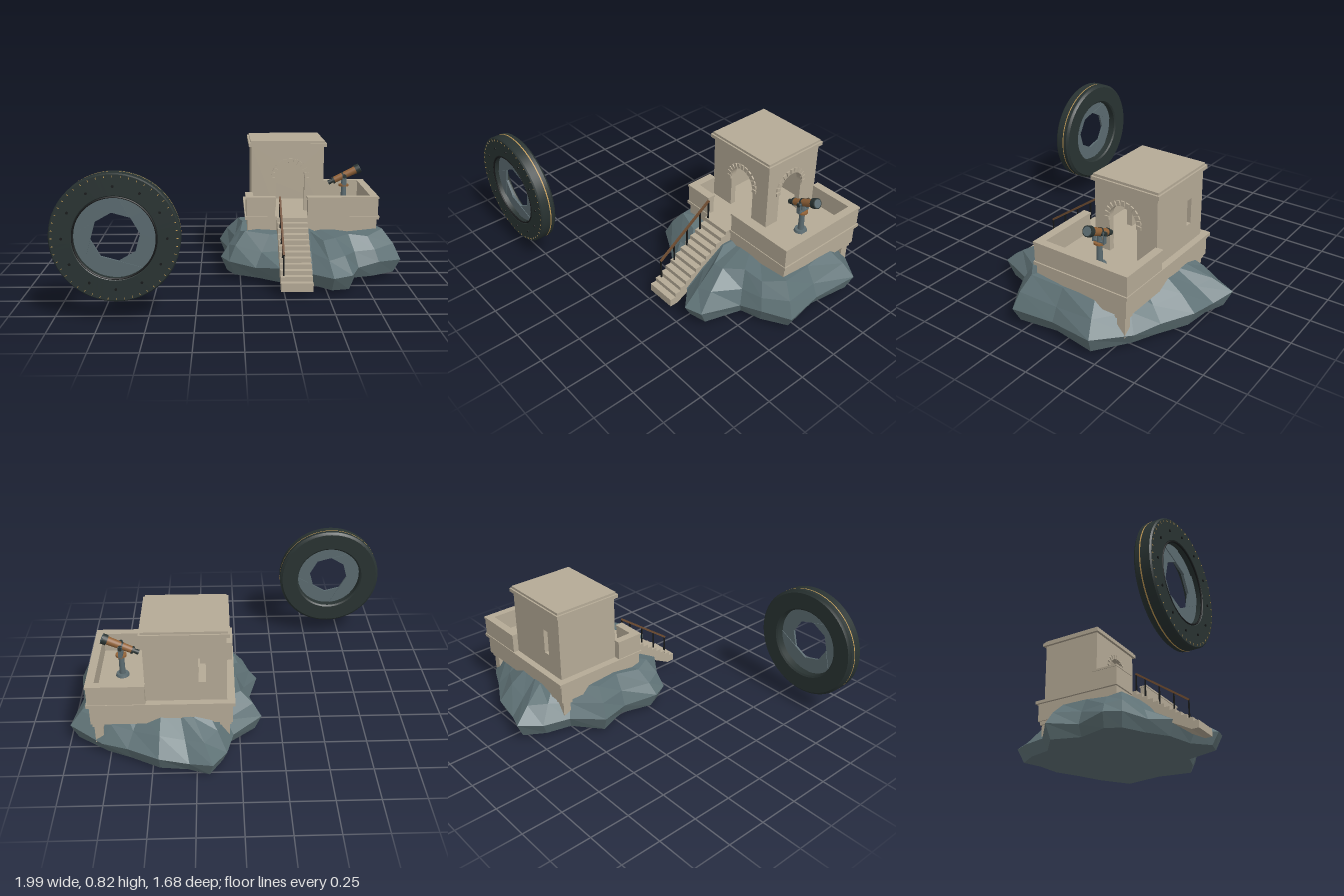
import * as THREE from 'three';
import { toCreasedNormals } from 'three/addons/utils/BufferGeometryUtils.js';

const material = (name, color, extra = {}) => {
  const m = new THREE.MeshStandardMaterial({ color, ...extra });
  m.name = name;
  return m;
};

export function createModel() {
  const stone = material('stone', 0xb5aa96);
  const rockMat = material('blue grey rock', 0x5f7276, { flatShading: true });
  const steel = material('blue grey steel', 0x5b6b70);
  const dark = material('dark iron', 0x293332);
  const black = material('black metal', 0x17191a);
  const copper = material('copper', 0x936338);
  const gold = material('gold', 0xc29a55);
  const wood = material('brown rail', 0x6e4c31);

  const model = new THREE.Group();
  const add = (name, geo, mat, parent = model) => {
    const mesh = new THREE.Mesh(geo, mat);
    mesh.name = name;
    parent.add(mesh);
    return mesh;
  };
  const group = (name) => {
    const g = new THREE.Group();
    g.name = name;
    model.add(g);
    return g;
  };
  const box = (name, mat, x0, x1, y0, y1, z0, z1, parent) => {
    const mesh = add(name, new THREE.BoxGeometry(x1 - x0, y1 - y0, z1 - z0), mat, parent);
    mesh.position.set((x0 + x1) / 2, (y0 + y1) / 2, (z0 + z1) / 2);
    return mesh;
  };
  const extrude = (shape, depth) =>
    new THREE.ExtrudeGeometry(shape, { depth, bevelEnabled: false, curveSegments: 16 });

  // Rock: widest outline as x, z and the inset of its plateau
  const outline = [
    [0.16, -0.84, 0.62], [0.29, -0.79, 0.62], [0.46, -0.77, 0.64], [0.64, -0.67, 0.66], [0.79, -0.6, 0.68],
    [0.99, -0.455, 0.72], [0.95, -0.18, 0.82], [0.99, 0.07, 0.8], [0.84, 0.16, 0.84], [0.71, 0.2, 0.8],
    [0.64, 0.435, 0.64], [0.53, 0.46, 0.62], [0.42, 0.35, 0.5], [0.23, 0.3, 0.5], [0.09, 0.2, 0.74],
    [-0.07, 0.115, 0.8], [-0.12, 0.01, 0.78], [-0.06, -0.2, 0.84], [-0.13, -0.4, 0.78], [0.04, -0.545, 0.74],
    [0.08, -0.71, 0.66],
  ];
  const rings = [
    () => [0, 0], () => [0.93, 0.025], () => [1, 0.11], (t) => [(1 + t) / 2 + 0.02, 0.195],
    (t) => [t, 0.28], () => [0, 0.285],
  ];
  const n = outline.length;
  const rockPoint = (r, i) => {
    const [x, z, top] = outline[i % n];
    const [s, y] = rings[r](top);
    const bump = r > 1 && r < 5 ? Math.sin((i % n) * 2.4 + r) * 0.014 : 0;
    return [0.43 + (x - 0.43) * s, y + bump, -0.2 + (z + 0.2) * s];
  };
  const verts = [];
  for (let r = 0; r < rings.length - 1; r++) {
    for (let i = 0; i < n; i++) {
      const a = rockPoint(r, i), b = rockPoint(r, i + 1);
      const c = rockPoint(r + 1, i), d = rockPoint(r + 1, i + 1);
      if (r < rings.length - 2) verts.push(...a, ...c, ...d);
      else verts.push(...a, ...c, ...b);
      if (r > 0 && r < rings.length - 2) verts.push(...a, ...d, ...b);
    }
  }
  const rockGeo = new THREE.BufferGeometry();
  rockGeo.setAttribute('position', new THREE.Float32BufferAttribute(verts, 3));
  rockGeo.computeVertexNormals();
  add('rock', rockGeo, rockMat);

  // Terrace: base, ledge, rear pillars and parapet with coping
  const terrace = group('terrace');
  box('base', stone, 0.045, 0.845, 0.23, 0.35, -0.59, 0.005, terrace);
  box('ledge', stone, 0.03, 0.86, 0.35, 0.37, -0.605, 0.015, terrace);
  for (const x of [0.085, 0.805]) {
    box('pillar', stone, x - 0.024, x + 0.024, 0.09, 0.23, -0.57, -0.52, terrace);
    box('pillarCapital', stone, x - 0.032, x + 0.032, 0.205, 0.23, -0.578, -0.512, terrace);
  }
  const parapets = [
    [0.038, 0.215, -0.033, 0.01], [0.417, 0.852, -0.033, 0.01], [0.812, 0.852, -0.6, -0.033],
    [0.53, 0.812, -0.6, -0.56], [0.038, 0.078, -0.16, -0.033],
  ];
  for (const [x0, x1, z0, z1] of parapets) {
    box('parapet', stone, x0, x1, 0.37, 0.478, z0, z1, terrace);
    box('coping', stone, x0 - 0.004, x1 + 0.004, 0.478, 0.491, z0 - 0.004, z1 + 0.004, terrace);
  }

  // Tower: hollow, two arched doorways and a slit window
  const tower = group('tower');
  const y0 = 0.37, y1 = 0.785, spring = 0.585, half = 0.09, thick = 0.035;
  const archWall = (u0, u1, c) => {
    const s = new THREE.Shape();
    s.moveTo(u0, y0);
    s.lineTo(c - half, y0);
    s.lineTo(c - half, spring);
    s.absarc(c, spring, half, Math.PI, 0, true);
    s.lineTo(c + half, y0);
    s.lineTo(u1, y0);
    s.lineTo(u1, y1);
    s.lineTo(u0, y1);
    return extrude(s, thick);
  };
  const archStones = (c, parent) => {
    for (let i = 0; i < 13; i++) {
      const a = (i / 12) * Math.PI * 1.06 - Math.PI * 0.03;
      const block = add('archStone', new THREE.BoxGeometry(0.029, 0.022, 0.014), stone, parent);
      block.position.set(c + Math.cos(a) * 0.105, spring + Math.sin(a) * 0.105, thick + 0.002);
      block.rotation.z = a;
    }
  };
  const front = new THREE.Group();
  front.name = 'frontWall';
  add('archedWall', archWall(0.075, 0.53, 0.32), stone, front);
  archStones(0.32, front);
  front.position.z = -0.16 - thick;
  const side = new THREE.Group();
  side.name = 'leftWall';
  add('archedWall', archWall(0.16 + thick, 0.565 - thick, 0.347), stone, side);
  archStones(0.347, side);
  side.rotation.y = Math.PI / 2;
  side.position.x = 0.53 - thick;
  tower.add(front, side);
  box('rightWall', stone, 0.075, 0.075 + thick, y0, y1, -0.565 + thick, -0.16 - thick, tower);
  const rect = (P, a, b, c, d) =>
    new P([[a, c], [b, c], [b, d], [a, d]].map(([x, y]) => new THREE.Vector2(x, y)));
  const back = rect(THREE.Shape, 0.075, 0.53, y0, y1);
  back.holes.push(rect(THREE.Path, 0.19, 0.232, 0.49, 0.645));
  add('backWall', extrude(back, thick), stone, tower).position.z = -0.565;
  box('roof', stone, 0.057, 0.545, 0.78, 0.802, -0.582, -0.143, tower);
  box('roofCap', stone, 0.068, 0.534, 0.802, 0.816, -0.572, -0.153, tower);

  // Stairs: stepped profile with a sloping underside
  const steps = 12, run = 0.46 / steps, rise = 0.285 / (steps - 1);
  const profile = new THREE.Shape();
  profile.moveTo(0, 0.25);
  for (let i = 0; i < steps; i++) {
    const y = 0.37 - i * rise;
    profile.lineTo(i * run, y);
    profile.lineTo((i + 1) * run, y);
  }
  profile.lineTo(0.46, 0.035);
  profile.lineTo(0.41, 0.035);
  const stairs = add('stairs', extrude(profile, 0.185), stone);
  stairs.rotation.y = -Math.PI / 2;
  stairs.position.set(0.411, 0, 0.008);

  // Stair railing
  const railing = group('railing');
  const railY = (z) => 0.495 - (z - 0.035) * 0.712;
  for (const z of [0.4, 0.3, 0.2, 0.1, 0.035]) {
    box('railPost', black, 0.239, 0.247, railY(z) - 0.13, railY(z), z - 0.004, z + 0.004, railing);
  }
  const rail = add('handrail', new THREE.BoxGeometry(0.012, 0.012, 0.455), wood, railing);
  rail.position.set(0.243, railY(0.2175), 0.2175);
  rail.rotation.x = Math.atan(0.712);

  // Telescope on its stand
  const scope = group('telescope');
  scope.position.set(0.68, 0, -0.3);
  const disc = (name, mat, r0, r1, h, parent, y = 0) => {
    const m = add(name, new THREE.CylinderGeometry(r0, r1, h, 20), mat, parent);
    m.position.y = y;
    return m;
  };
  disc('standFoot', steel, 0.035, 0.04, 0.015, scope, 0.377);
  disc('stand', steel, 0.016, 0.018, 0.13, scope, 0.435);
  disc('turntable', copper, 0.032, 0.032, 0.012, scope, 0.508);
  disc('neck', steel, 0.012, 0.014, 0.04, scope, 0.53);
  for (const s of [-1, 1]) box('fork', steel, -0.012, 0.012, 0.51, 0.58, s * 0.034 - 0.005, s * 0.034 + 0.005, scope);
  box('forkBase', steel, -0.012, 0.012, 0.51, 0.522, -0.038, 0.038, scope);
  disc('axle', dark, 0.012, 0.012, 0.09, scope, 0.57).rotation.x = Math.PI / 2;
  const tube = new THREE.Group();
  tube.name = 'telescopeTube';
  tube.position.y = 0.572;
  tube.rotation.z = -Math.PI / 2 + 0.45;
  scope.add(tube);
  disc('barrel', copper, 0.025, 0.02, 0.16, tube, 0.005);
  disc('hood', dark, 0.031, 0.031, 0.03, tube, 0.097);
  disc('lens', steel, 0.025, 0.025, 0.004, tube, 0.112);
  disc('barrelBand', dark, 0.025, 0.025, 0.01, tube, -0.005);
  disc('eyepieceCollar', dark, 0.023, 0.023, 0.012, tube, -0.075);
  disc('eyepiece', dark, 0.013, 0.015, 0.035, tube, -0.095);

  // Freestanding ring with a bladed iris
  const portal = group('irisRing');
  portal.position.set(-0.66, 0.45, 0.785);
  const section = [
    [0.215, -0.042], [0.225, -0.05], [0.325, -0.05], [0.334, -0.04], [0.34, -0.036], [0.34, 0.042],
    [0.334, 0.05], [0.225, 0.05], [0.215, 0.042], [0.215, -0.042],
  ].map(([r, z]) => new THREE.Vector2(r, z));
  add('ringBody', toCreasedNormals(new THREE.LatheGeometry(section, 64).rotateX(Math.PI / 2), 0.5), dark, portal);
  const band = add('goldBand', new THREE.CylinderGeometry(0.3415, 0.3415, 0.007, 64, 1, true), gold, portal);
  band.rotation.x = Math.PI / 2;
  band.position.z = -0.01;
  const around = (count, r, z, name, geo, mat) => {
    for (let i = 0; i < count; i++) {
      const a = (i / count) * Math.PI * 2;
      const m = add(name, geo, mat, portal);
      m.position.set(Math.cos(a) * r, Math.sin(a) * r, z);
      m.rotation.z = a;
    }
  };
  around(48, 0.323, 0.05, 'goldTick', new THREE.BoxGeometry(0.01, 0.003, 0.004), gold);
  around(12, 0.272, 0.05, 'rivet', new THREE.CylinderGeometry(0.007, 0.007, 0.01, 10).rotateX(Math.PI / 2), black);
  around(1, 0, 0.046, 'innerRim', new THREE.TorusGeometry(0.217, 0.005, 6, 64), black);

  // Eight pinwheel blades around the opening
  const polar = (r, a) => new THREE.Vector2(r * Math.cos(a), r * Math.sin(a));
  const blades = 8, wedge = (Math.PI * 2) / blades, hole = 0.13, outer = 0.219;
  const reach = Math.sqrt(outer ** 2 - (hole * Math.cos(wedge / 2)) ** 2);
  const swing = wedge / 2 + Math.atan2(reach, hole * Math.cos(wedge / 2));
  const blade = new THREE.Shape([polar(hole, 0), polar(hole, wedge)]);
  for (let k = 0; k <= 6; k++) blade.lineTo(...polar(outer, swing - (k / 6) * wedge).toArray());
  const bladeGeo = extrude(blade, 0.014);
  for (let i = 0; i < blades; i++) {
    const m = add('irisBlade', bladeGeo, steel, portal);
    m.rotation.z = i * wedge + 0.12;
    m.position.z = i % 2 ? 0.004 : 0;
  }
  return model;
}
